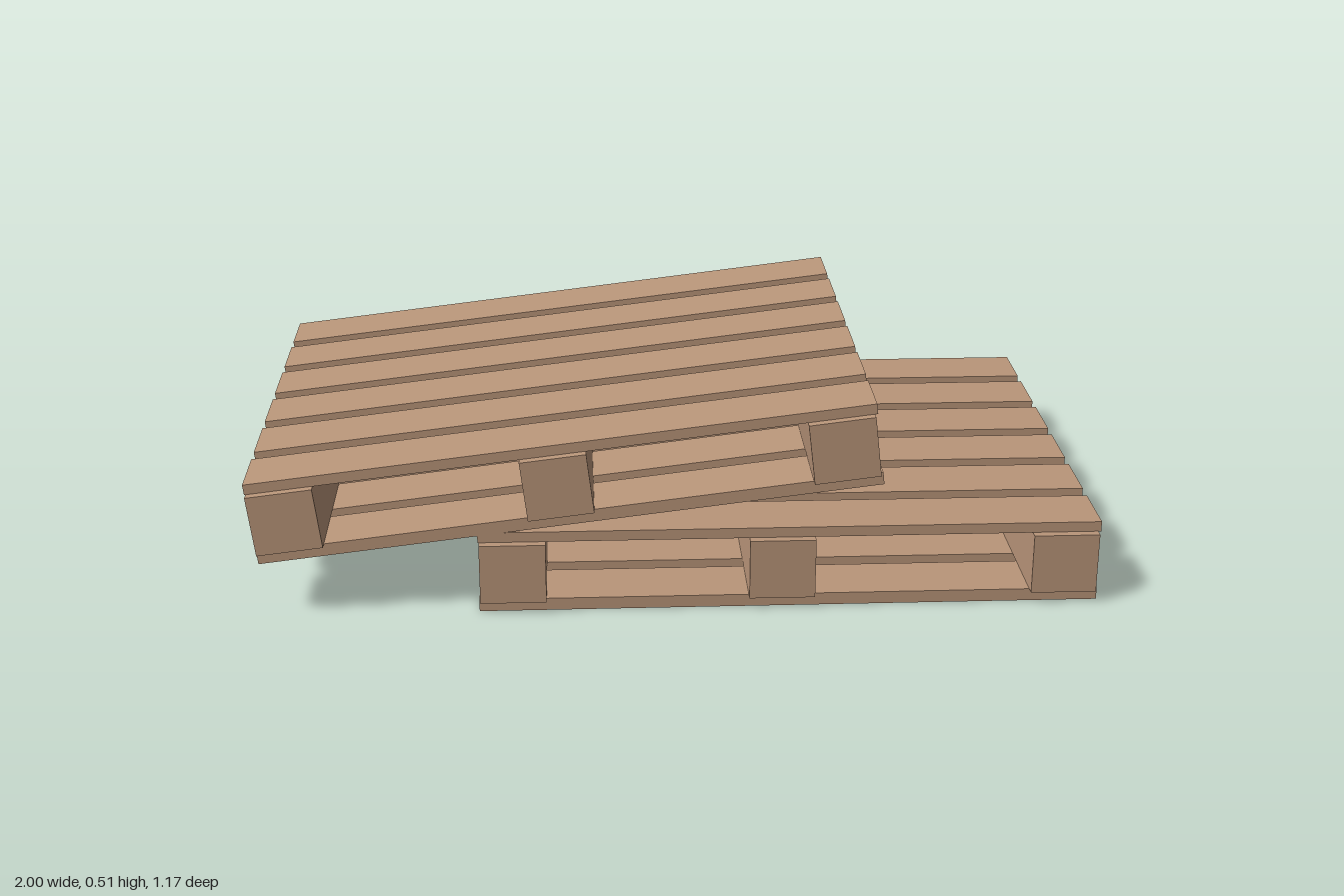
import * as THREE from 'three';

const wood = new THREE.MeshStandardMaterial({ color: 0xba967a });
wood.name = 'bare wood';

function addBox(group, name, size, position) {
  const mesh = new THREE.Mesh(new THREE.BoxGeometry(...size), wood);
  mesh.name = name;
  mesh.position.set(...position);
  group.add(mesh);
}

// One pallet, centred on its own middle: 1.47 long, 0.2 high, 1.17 deep
function createPallet(name) {
  const pallet = new THREE.Group();
  pallet.name = name;

  // Three solid bearers running front to back
  for (const x of [-0.652, -0.02, 0.648]) {
    addBox(pallet, 'bearer', [0.155, 0.147, 1.17], [x, 0.003, 0]);
  }

  // Six slats above and six below, flush with the back
  for (let i = 0; i < 6; i++) {
    const z = -0.509 + i * 0.199;
    addBox(pallet, 'deckSlat', [1.465, 0.025, 0.156], [0, 0.0885, z]);
    addBox(pallet, 'baseSlat', [1.465, 0.03, 0.156], [0, -0.085, z]);
  }
  return pallet;
}

export function createModel() {
  const model = new THREE.Group();
  model.name = 'stackedPallets';

  const lower = createPallet('lowerPallet');
  lower.position.set(0.265, 0.1, -0.001);

  // Upper pallet leans on the edge of the lower one
  const upper = createPallet('upperPallet');
  upper.position.set(-0.26, 0.32, 0.001);
  upper.rotation.z = 0.119;

  model.add(lower, upper);
  return model;
}
